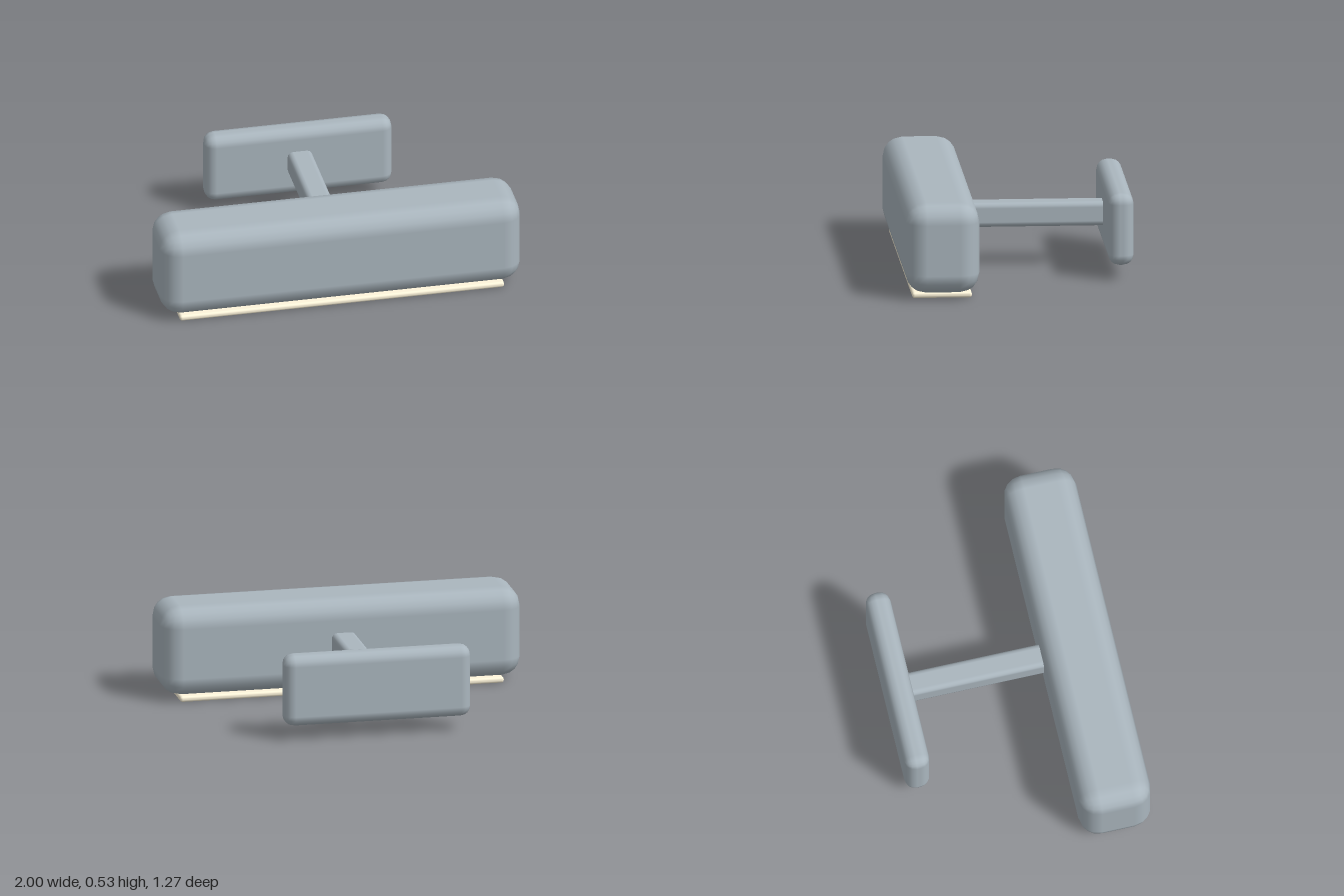
import * as THREE from 'three';
import { RoundedBoxGeometry } from 'three/addons/geometries/RoundedBoxGeometry.js';

// Rounded block given by its extents along each axis
function block(name, [x0, x1], [y0, y1], [z0, z1], radius, material) {
  const geometry = new RoundedBoxGeometry(x1 - x0, y1 - y0, z1 - z0, 2, radius);
  const mesh = new THREE.Mesh(geometry, material);
  mesh.position.set((x0 + x1) / 2, (y0 + y1) / 2, (z0 + z1) / 2);
  mesh.name = name;
  return mesh;
}

export function createModel() {
  const group = new THREE.Group();
  group.name = 'wallLamp';
  const metal = new THREE.MeshStandardMaterial({ color: 0xaab6be });
  const cream = new THREE.MeshStandardMaterial({ color: 0xfff6dc });

  group.add(
    // Long housing at the front
    block('housing', [-1, 1], [0.03, 0.53], [0.235, 0.635], 0.11, metal),
    // Thin light panel under the housing
    block('lightPanel', [-0.9, 0.9], [0, 0.032], [0.275, 0.6], 0.014, cream),
    // Arm joining the housing to the wall plate
    block('arm', [-0.068, 0.068], [0.214, 0.35], [-0.53, 0.27], 0.03, metal),
    // Upright mounting plate at the back
    block('mountingPlate', [-0.52, 0.52], [0.08, 0.48], [-0.635, -0.497], 0.06, metal),
  );
  return group;
}
